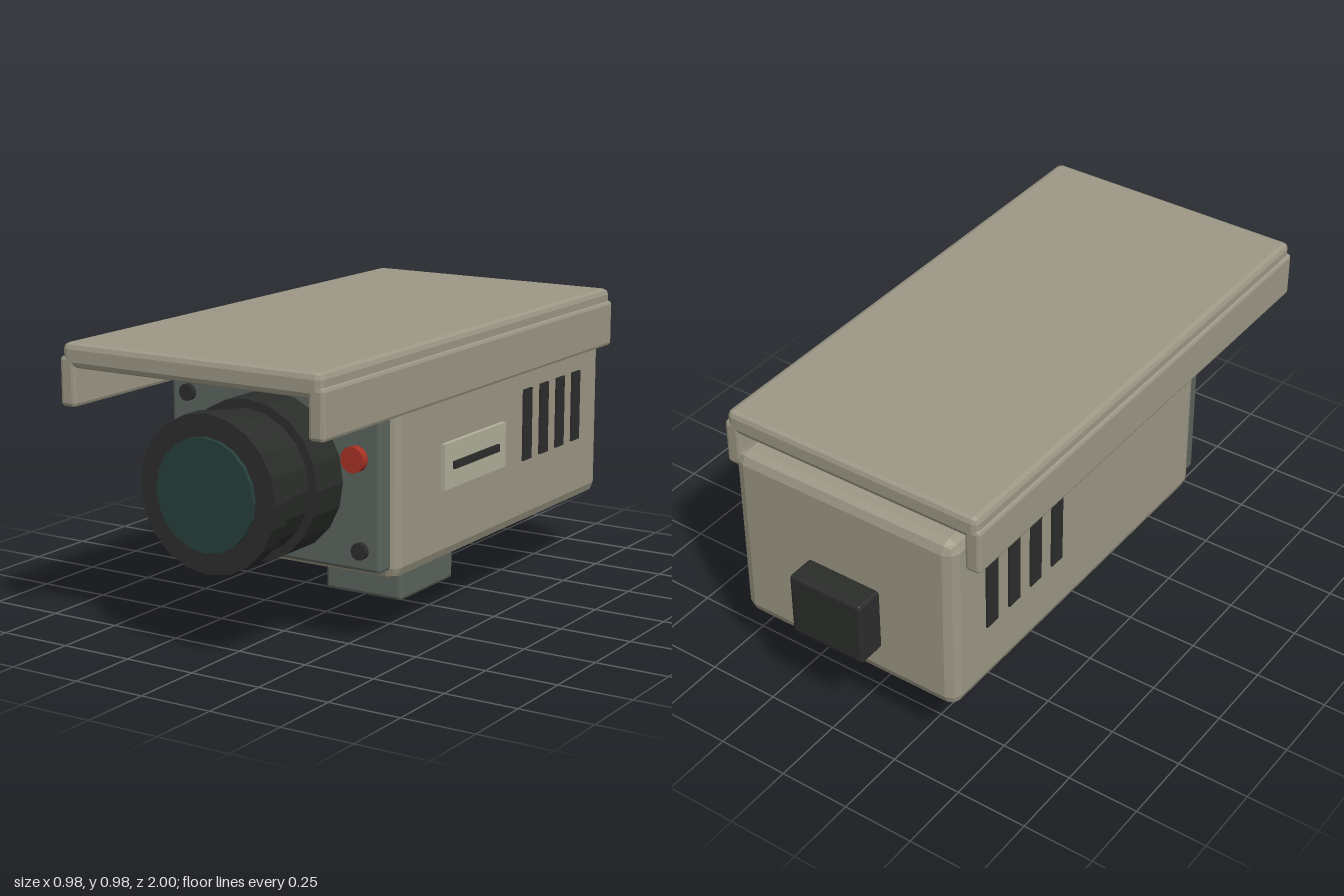
import * as THREE from 'three';
import { RoundedBoxGeometry } from 'three/addons/geometries/RoundedBoxGeometry.js';

const paint = (color) => new THREE.MeshStandardMaterial({ color, flatShading: true });

export function createModel() {
  const model = new THREE.Group();
  const shell = paint(0x9c9785);
  const panel = paint(0x5c645d);
  const dark = paint(0x2b2d2b);
  const pale = paint(0xb2af9a);
  const glass = paint(0x273f3c);
  const red = paint(0xa83224);

  const add = (name, geometry, material) => {
    const mesh = new THREE.Mesh(geometry, material);
    mesh.name = name;
    model.add(mesh);
    return mesh;
  };

  // Box given by its [min, max] on each axis, with an optional bevelled edge
  const box = (name, [x0, x1], [y0, y1], [z0, z1], material, bevel = 0) => {
    const size = [x1 - x0, y1 - y0, z1 - z0];
    const geometry = bevel ? new RoundedBoxGeometry(...size, 1, bevel) : new THREE.BoxGeometry(...size);
    add(name, geometry, material).position.set((x0 + x1) / 2, (y0 + y1) / 2, (z0 + z1) / 2);
  };

  // Cylinder lying along z, from z0 to z1
  const disc = (name, x, y, z0, z1, radius, material, sides = 20) => {
    const geometry = new THREE.CylinderGeometry(radius, radius, z1 - z0, sides).rotateX(Math.PI / 2);
    add(name, geometry, material).position.set(x, y, (z0 + z1) / 2);
  };

  // Housing and front plate
  box('housing', [-0.422, 0.422], [0.228, 0.88], [-0.903, 0.498], shell, 0.04);
  box('frontPlate', [-0.398, 0.398], [0.262, 0.847], [0.45, 0.55], panel, 0.012);

  // Sun shield: roof with a flange down each side
  box('shieldRoof', [-0.478, 0.478], [0.903, 0.983], [-0.857, 1], shell, 0.02);
  for (const s of [-1, 1]) {
    const xs = [s * 0.432, s * 0.488].sort((a, b) => a - b);
    box('shieldFlange', xs, [0.78, 0.94], [-0.857, 1], shell, 0.012);
  }

  // Lens barrel in three steps, then the glass
  const lensY = 0.543;
  disc('lensBase', 0, lensY, 0.54, 0.695, 0.262, dark);
  disc('lensBarrel', 0, lensY, 0.69, 0.84, 0.232, dark);
  disc('lensRim', 0, lensY, 0.835, 0.908, 0.254, dark);
  disc('lensGlass', 0, lensY, 0.88, 0.922, 0.182, glass);

  // Corner screws and indicator light
  for (const x of [-0.329, 0.329]) {
    for (const y of [0.331, 0.766]) disc('screw', x, y, 0.54, 0.568, 0.028, dark, 16);
  }
  disc('indicatorLight', 0.312, 0.625, 0.54, 0.578, 0.042, red);

  // Vent slots on both sides
  for (const s of [-1, 1]) {
    for (let i = 0; i < 4; i++) {
      const z = -0.351 - i * 0.1185;
      const xs = [s * 0.41, s * 0.429].sort((a, b) => a - b);
      box('ventSlot', xs, [0.456, 0.703], [z - 0.029, z + 0.029], dark);
    }
  }

  // Side plate with its slot
  box('sidePlate', [0.41, 0.438], [0.468, 0.62], [-0.177, 0.222], pale);
  box('sidePlateSlot', [0.42, 0.447], [0.531, 0.556], [-0.122, 0.172], dark);

  // Mounting foot and rear connector
  box('mountFoot', [-0.152, 0.152], [0, 0.26], [-0.326, 0.021], panel, 0.012);
  box('rearConnector', [-0.138, 0.138], [0.348, 0.578], [-1, -0.87], dark, 0.01);

  return model;
}
